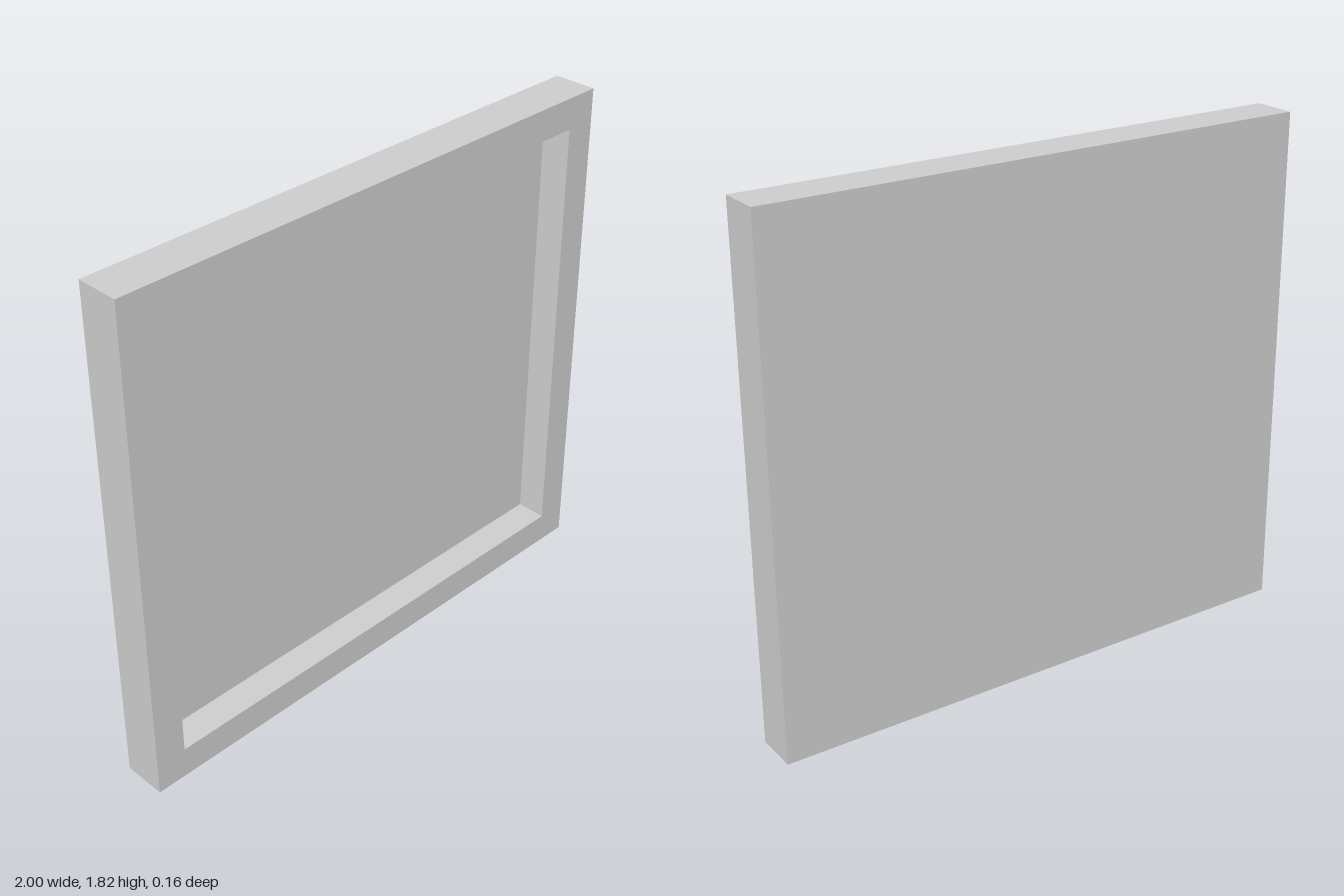
import * as THREE from 'three';

const W = 2, H = 1.82, D = 0.155;      // overall size
const BORDER = 0.112;                  // width of the frame face
const TAPER = 0.012;                   // inward slope of the recess walls
const RECESS = 0.1;                    // depth of the recess

// Rectangle inset from the outline, counter-clockwise seen from the front
function ring(inset, z) {
  const x = W / 2 - inset, y0 = inset, y1 = H - inset;
  return [[-x, y0, z], [x, y0, z], [x, y1, z], [-x, y1, z]];
}

// Flat-shaded geometry from a list of four-cornered faces
function quads(faces) {
  const pos = faces.flatMap(([a, b, c, d]) => [...a, ...b, ...c, ...a, ...c, ...d]);
  const geo = new THREE.BufferGeometry();
  geo.setAttribute('position', new THREE.Float32BufferAttribute(pos, 3));
  geo.computeVertexNormals();
  return geo;
}

// Faces joining one ring to the next
function band(a, b) {
  return a.map((p, i) => {
    const j = (i + 1) % a.length;
    return [p, a[j], b[j], b[i]];
  });
}

export function createModel() {
  const group = new THREE.Group();
  group.name = 'framedPanel';
  const material = new THREE.MeshStandardMaterial({ color: 0xcccccc, flatShading: true });
  const add = (name, faces) => {
    const mesh = new THREE.Mesh(quads(faces), material);
    mesh.name = name;
    group.add(mesh);
  };

  const back = ring(0, -D / 2);
  const front = ring(0, D / 2);
  const lip = ring(BORDER, D / 2);
  const floor = ring(BORDER + TAPER, D / 2 - RECESS);

  // Outer sides, front border and sloping recess walls
  add('frame', [...band(back, front), ...band(front, lip), ...band(lip, floor)]);
  // Sunken front panel
  add('panel', [floor]);
  // Plain back
  add('backPanel', [[...back].reverse()]);

  return group;
}
